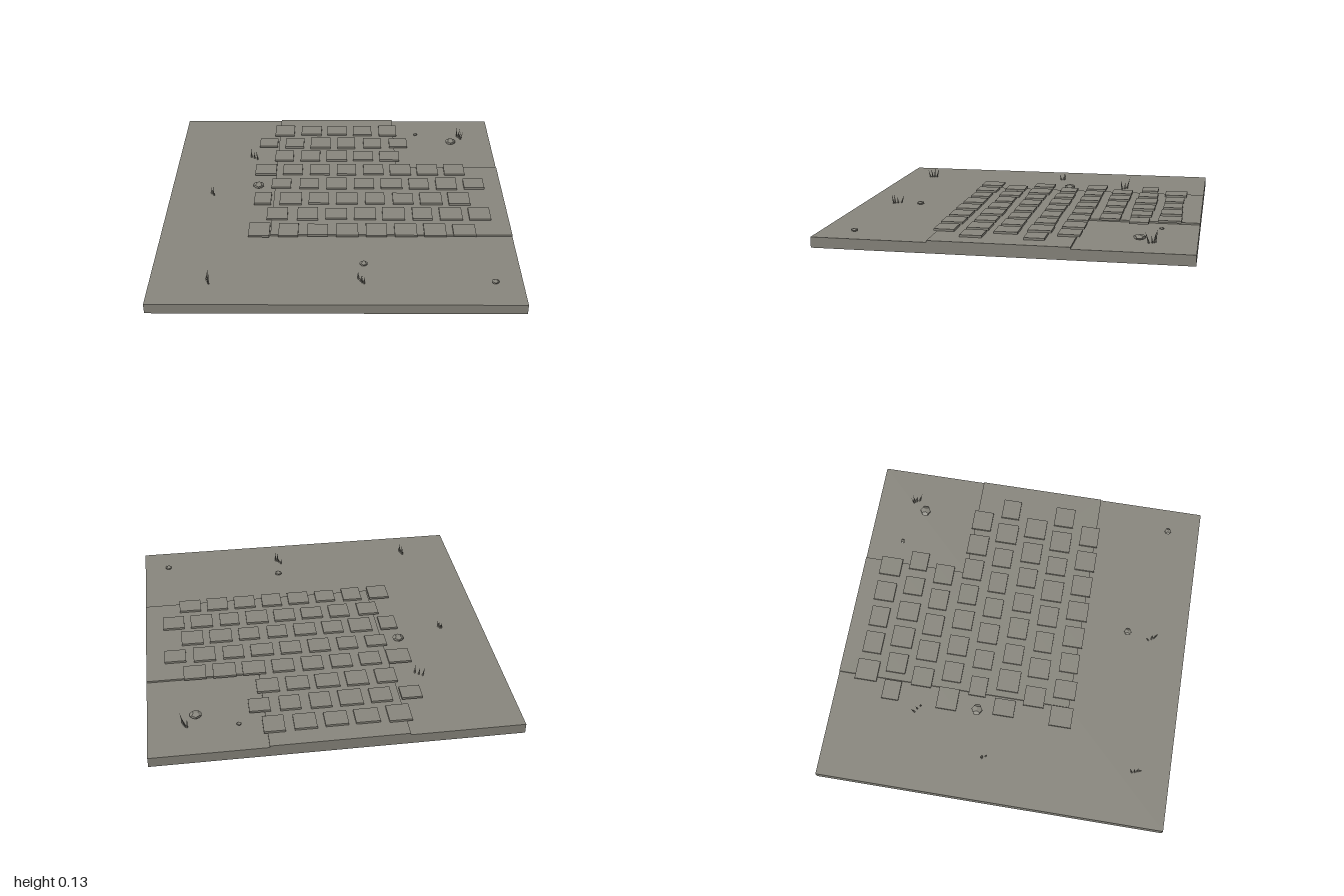
import * as THREE from 'three';

const stone = new THREE.MeshStandardMaterial({ color: 0x88867d, flatShading: true });
stone.name = 'weathered grey';

const GROUND = 0.058, PATH = 0.068, TILE_TOP = 0.08;

// small seeded generator
let seed = 7;
const rand = (a, b) => {
  seed = (seed * 16807) % 2147483647;
  return a + (b - a) * (seed / 2147483647);
};

function add(parent, name, geometry, x = 0, y = 0, z = 0) {
  const mesh = new THREE.Mesh(geometry, stone);
  mesh.name = name;
  mesh.position.set(x, y, z);
  parent.add(mesh);
  return mesh;
}

// L-shaped road bed; shape y is -z
function pathBed() {
  const corners = [[-0.375, 1], [-0.375, -0.372], [1, -0.372], [1, 0.375], [0.37, 0.375], [0.37, 1]];
  const shape = new THREE.Shape(corners.map(([x, y]) => new THREE.Vector2(x, y)));
  const geo = new THREE.ExtrudeGeometry(shape, { depth: PATH - GROUND, bevelEnabled: false });
  return geo.rotateX(-Math.PI / 2);
}

function pavers() {
  const group = new THREE.Group();
  group.name = 'pavers';
  const pitch = 0.167;
  // size and shift of the end pavers overhanging the left edge, front to back
  const ends = [
    [-0.44, 0.335, 0.12, 0.13], [-0.345, 0.165, 0.12, 0.12], [-0.44, 0, 0.10, 0.123],
    [-0.337, -0.17, 0.117, 0.1], [-0.44, -0.335, 0.13, 0.12], [-0.333, -0.505, 0.115, 0.12],
    [-0.441, -0.67, 0.115, 0.1], [-0.343, -0.835, 0.125, 0.13],
  ];
  ends.forEach(([x0, z, w0, d0], row) => {
    const onArm = row < 5;
    const base = row % 2 ? -0.335 : -0.44;
    const count = onArm ? 8 : row % 2 ? 5 : 6;
    for (let i = 0; i < count; i++) {
      const w = i ? rand(0.112, 0.132) : w0;
      const d = i ? rand(0.105, 0.13) : d0;
      const x = i ? base + i * pitch : x0;
      const h = TILE_TOP - PATH;
      add(group, 'paver', new THREE.BoxGeometry(w, h, d), x, PATH + h / 2, z);
    }
  });
  return group;
}

// tuft of thin leaning blades
function tuft(x, z, spreadX, spreadZ, blades, height) {
  const group = new THREE.Group();
  group.name = 'grassTuft';
  group.position.set(x, GROUND, z);
  for (let i = 0; i < blades; i++) {
    const h = height * rand(0.65, 1);
    const blade = new THREE.ConeGeometry(0.005, h, 4).translate(0, h / 2, 0);
    const t = blades > 1 ? i / (blades - 1) - 0.5 : 0;
    const mesh = add(group, 'grassBlade', blade, t * spreadX, 0, t * spreadZ + rand(-0.005, 0.005));
    mesh.rotation.set(t * 0.5 + rand(-0.1, 0.1), 0, rand(-0.3, 0.1));
  }
  return group;
}

export function createModel() {
  const model = new THREE.Group();
  model.name = 'roadCornerTile';

  add(model, 'groundSlab', new THREE.BoxGeometry(2, GROUND, 2), 0, GROUND / 2, 0);
  add(model, 'pathBed', pathBed(), 0, GROUND, 0);
  model.add(pavers());

  // flattened pebbles
  [[0.74, -0.70, 0.034], [-0.475, -0.155, 0.034], [0.15, 0.65, 0.023],
    [0.85, 0.81, 0.021], [0.515, -0.80, 0.014]].forEach(([x, z, r]) => {
    const pebble = add(model, 'pebble', new THREE.DodecahedronGeometry(r), x, GROUND + 0.006 + r * 0.22, z);
    pebble.scale.y = 0.42;
  });

  // grass
  [[0.80, -0.77, 0.02, 0.035, 4, 0.075], [-0.525, -0.50, 0.04, 0.02, 3, 0.078],
    [-0.747, -0.072, 0.015, 0.02, 3, 0.062], [0.135, 0.80, 0.03, 0.035, 4, 0.062],
    [-0.687, 0.805, 0.015, 0.04, 4, 0.07]].forEach((t) => model.add(tuft(...t)));

  return model;
}
